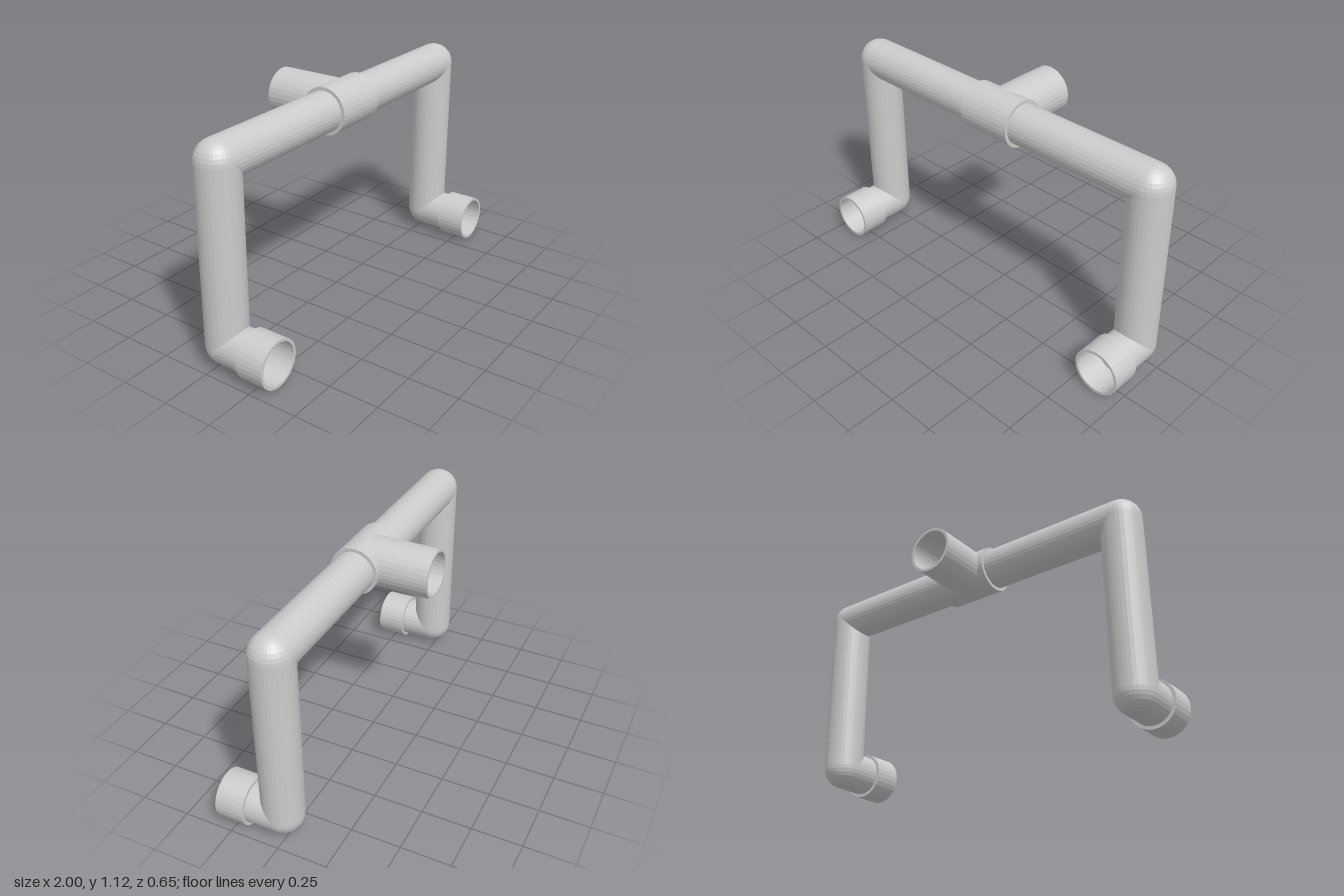
import * as THREE from 'three';

const SIDES = 32;
const PIPE = 0.102, FIT = 0.119, BORE = 0.105; // radii
const X = 0.881, TOP = 1.001, FOOT = 0.119, Z = 0.031; // pipe centre lines
const END = 0.325, SHOULDER = 0.18, COLLAR = 0.145;

export function createModel() {
  const model = new THREE.Group();
  model.name = 'pipeFrame';
  const grey = new THREE.MeshStandardMaterial({ color: 0xcccccc, flatShading: true, side: THREE.DoubleSide });

  const add = (name, geometry, x = 0, y = 0, z = 0) => {
    const mesh = new THREE.Mesh(geometry, grey);
    mesh.name = name;
    mesh.position.set(x, y, z);
    model.add(mesh);
    return mesh;
  };
  const tube = (r, length, open = false) => new THREE.CylinderGeometry(r, r, length, SIDES, 1, open);
  // Flat annulus facing +z
  const rim = (inner, outer) => new THREE.RingGeometry(inner, outer, SIDES, 1);

  // Horizontal run through the tee
  add('crossPipe', tube(PIPE, 2 * X, true).rotateZ(Math.PI / 2), 0, TOP, Z);

  for (const side of [-1, 1]) {
    const name = side > 0 ? 'left' : 'right';
    const x = side * X;

    // Leg with rounded elbows at both ends
    add(name + 'Leg', tube(PIPE, TOP - FOOT, true), x, (TOP + FOOT) / 2, Z);
    add(name + 'TopElbow', new THREE.SphereGeometry(PIPE, SIDES, 16), x, TOP, Z);
    add(name + 'FootElbow', new THREE.SphereGeometry(PIPE, SIDES, 16), x, FOOT, Z);

    // Short foot pipe; its closed end is the floor of the socket
    add(name + 'FootPipe', tube(PIPE, SHOULDER - Z).rotateX(Math.PI / 2), x, FOOT, (SHOULDER + Z) / 2);

    // Open socket at the foot
    const depth = END - SHOULDER, mid = (END + SHOULDER) / 2;
    add(name + 'SocketOuter', tube(FIT, depth, true).rotateX(Math.PI / 2), x, FOOT, mid);
    add(name + 'SocketBore', tube(BORE, depth, true).rotateX(Math.PI / 2), x, FOOT, mid);
    add(name + 'SocketRim', rim(BORE, FIT), x, FOOT, END);
    add(name + 'SocketShoulder', rim(PIPE - 0.004, FIT), x, FOOT, SHOULDER);

    // Half of the tee collar, its inner end mitred to meet the branch
    const half = tube(FIT, COLLAR, true).rotateZ(-side * Math.PI / 2);
    const p = half.attributes.position;
    for (let i = 0; i < p.count; i++) {
      const inner = p.getX(i) * side < 0;
      p.setX(i, side * (inner ? Math.max(0, -p.getZ(i)) : COLLAR));
    }
    add(name + 'TeeCollar', half, 0, TOP, Z);
    add(name + 'TeeRim', rim(PIPE - 0.004, FIT).rotateY(Math.PI / 2), side * COLLAR, TOP, Z);
  }

  // Tee branch to the back, walls starting on the mitre seam
  for (const [name, r] of [['branchOuter', FIT], ['branchBore', BORE]]) {
    const g = tube(r, END + Z, true).rotateX(Math.PI / 2);
    const p = g.attributes.position;
    for (let i = 0; i < p.count; i++) {
      p.setZ(i, p.getZ(i) > 0 ? -Math.abs(p.getX(i)) : -END - Z);
    }
    add(name, g, 0, TOP, Z);
  }
  add('branchRim', rim(BORE, FIT).rotateY(Math.PI), 0, TOP, -END);

  // Flat shading needs no shared normals after the vertex moves
  model.traverse((o) => o.isMesh && o.geometry.computeVertexNormals());
  return model;
}
